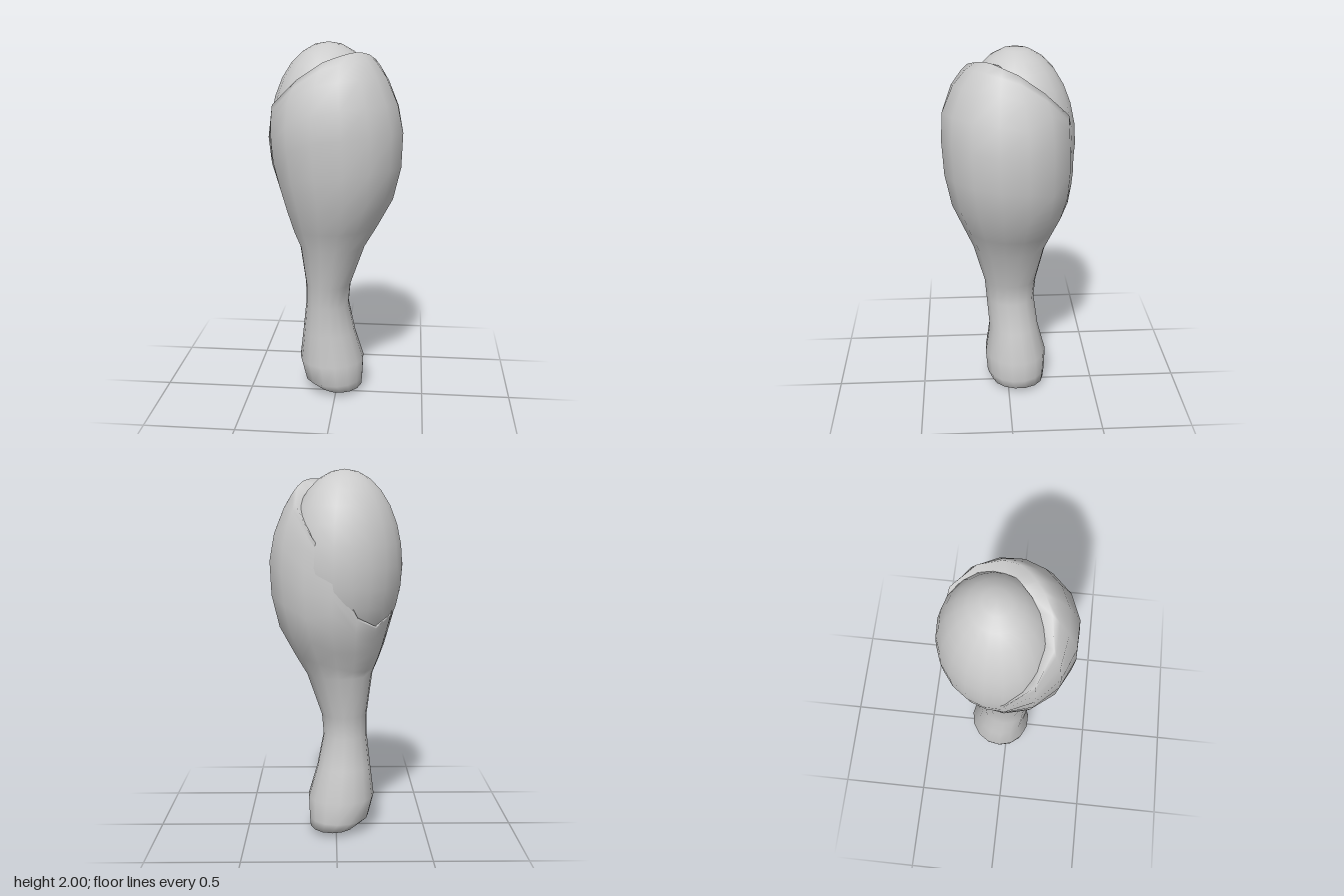
import * as THREE from 'three';

const material = new THREE.MeshStandardMaterial({ color: 0xcccccc });
const SIDES = 15;
const TOP = 1.96;
const OPEN_ANGLE = Math.PI * 1.25; // the skin is cut open towards -x, -z

// Skin cross-sections: y, xMin, xMax, zMin, zMax
const sections = [
  [0.01, -0.07, 0.10, -0.11, 0.05],
  [0.03, -0.11, 0.145, -0.205, 0.09],
  [0.08, -0.18, 0.15, -0.215, 0.12],
  [0.20, -0.21, 0.155, -0.22, 0.13],
  [0.37, -0.19, 0.105, -0.175, 0.105],
  [0.55, -0.17, 0.07, -0.15, 0.12],
  [0.67, -0.17, 0.08, -0.16, 0.13],
  [0.90, -0.20, 0.16, -0.21, 0.19],
  [1.02, -0.25, 0.23, -0.26, 0.24],
  [1.18, -0.295, 0.315, -0.33, 0.305],
  [1.36, -0.345, 0.355, -0.345, 0.34],
  [1.55, -0.362, 0.36, -0.34, 0.35],
  [1.70, -0.345, 0.325, -0.33, 0.34],
  [1.84, -0.27, 0.26, -0.26, 0.275],
  [1.92, -0.19, 0.20, -0.18, 0.20],
  [TOP, -0.12, 0.15, -0.11, 0.13],
];

// Height of the cut edge by angle in degrees from the middle of the opening
const rim = [[0, 1.19], [25, 1.25], [48, 1.5], [70, 1.68], [95, 1.82], [125, 1.93], [180, TOP]];

// Interpolates every column of a table by its first column
function sample(table, key) {
  let i = 1;
  while (i < table.length - 1 && table[i][0] < key) i++;
  const a = table[i - 1], b = table[i];
  const t = THREE.MathUtils.clamp((key - a[0]) / (b[0] - a[0]), 0, 1);
  return a.map((v, k) => THREE.MathUtils.lerp(v, b[k], t));
}

// Point on the skin, slightly fuller across the opening
function skinPoint(y, angle, inset) {
  const [, x0, x1, z0, z1] = sample(sections, y);
  const swell = 1 + 0.03 * Math.sin(angle - OPEN_ANGLE) ** 2;
  return [
    (x0 + x1) / 2 + Math.cos(angle) * (swell * (x1 - x0) / 2 - inset),
    (z0 + z1) / 2 + Math.sin(angle) * (swell * (z1 - z0) / 2 - inset),
  ];
}

function skinGeometry() {
  const positions = [], index = [];
  const rows = sections.length + 1; // the last row is the tucked-in lip
  const base = 0.9;
  for (let r = 0; r < rows; r++) {
    const lip = r === rows - 1;
    const level = lip ? TOP : sections[r][0];
    for (let i = 0; i < SIDES; i++) {
      const turn = (i / SIDES) * 360;
      const angle = OPEN_ANGLE + THREE.MathUtils.degToRad(turn);
      const height = sample(rim, Math.min(turn, 360 - turn))[1];
      // Above the shank the rows are squeezed to end on the slanted cut edge
      const y = level <= base ? level : base + (level - base) * (height - base) / (TOP - base);
      const [x, z] = skinPoint(y, angle, lip ? 0.06 : 0);
      positions.push(x, lip ? y - 0.02 : y, z);
    }
  }
  for (let r = 0; r < rows - 1; r++) {
    for (let i = 0; i < SIDES; i++) {
      const a = r * SIDES + i, b = r * SIDES + (i + 1) % SIDES;
      index.push(a, a + SIDES, b, b, a + SIDES, b + SIDES);
    }
  }
  // Close the underside of the knuckle
  const centre = positions.length / 3;
  positions.push(0.01, 0, -0.03);
  for (let i = 0; i < SIDES; i++) index.push(centre, i, (i + 1) % SIDES);

  const geometry = new THREE.BufferGeometry();
  geometry.setAttribute('position', new THREE.Float32BufferAttribute(positions, 3));
  geometry.setIndex(index);
  geometry.computeVertexNormals();
  return geometry;
}

export function createModel() {
  const model = new THREE.Group();
  model.name = 'drumstick';

  // Skin with shank and knuckle
  const skin = new THREE.Mesh(skinGeometry(), material);
  skin.name = 'skin';
  model.add(skin);

  // Rounded meat filling the opening, widest across it
  const meatGeometry = new THREE.SphereGeometry(1, 20, 14);
  meatGeometry.scale(0.325, 0.5, 0.3);
  const meat = new THREE.Mesh(meatGeometry, material);
  meat.name = 'meat';
  meat.position.set(-0.045, 1.5, -0.045);
  meat.rotation.y = Math.PI / 4;
  model.add(meat);

  return model;
}
